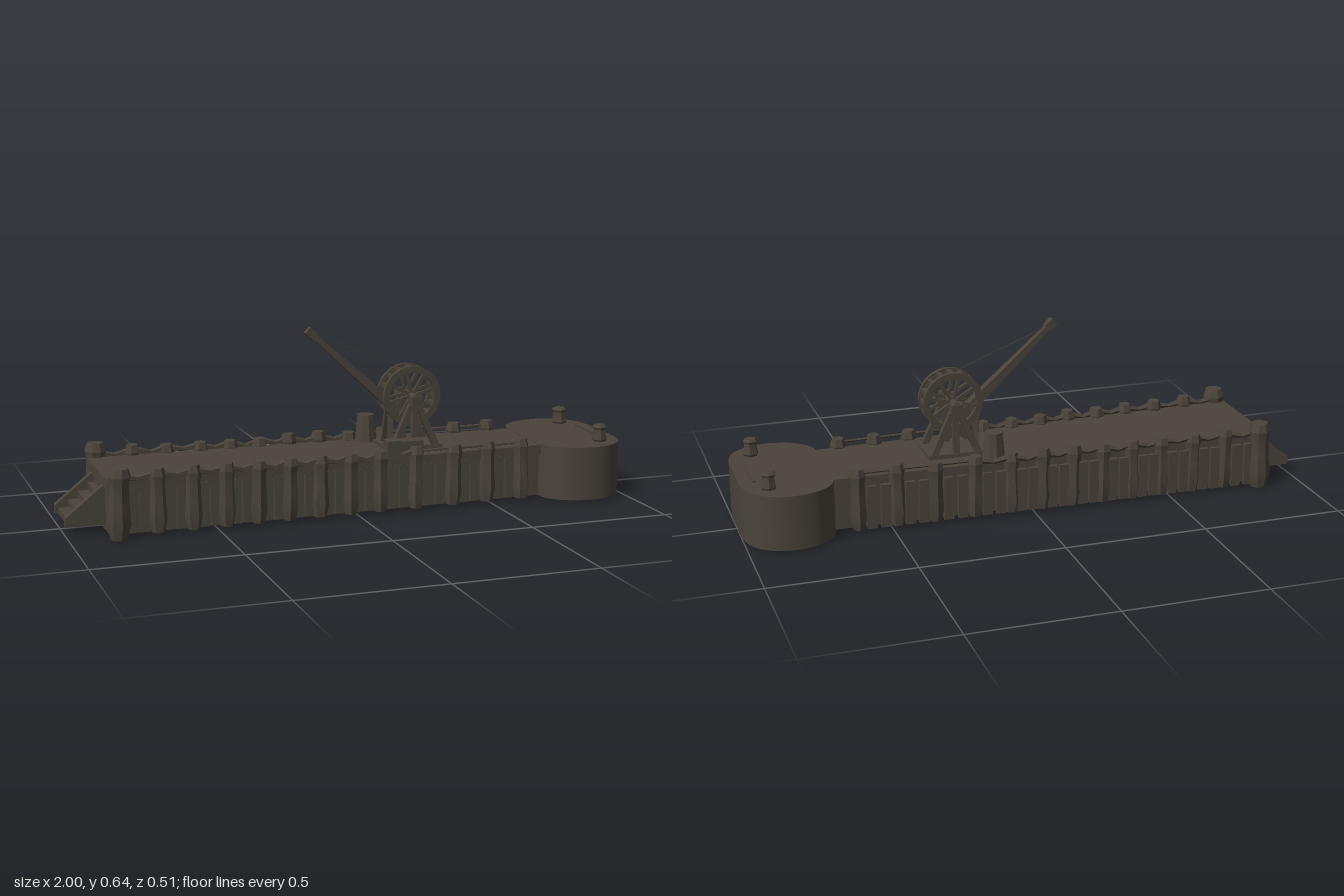
import * as THREE from 'three';
import { toCreasedNormals } from 'three/addons/utils/BufferGeometryUtils.js';

const V = (x, y, z) => new THREE.Vector3(x, y, z);

export function createModel() {
  const model = new THREE.Group();
  model.name = 'pier';
  const wood = new THREE.MeshStandardMaterial({ color: 0x4a433b });
  wood.name = 'weathered dark wood';

  let seed = 7;
  const rnd = () => ((seed = (seed * 16807) % 2147483647) / 2147483647) - 0.5;

  function add(name, geo, parent = model, crease = 0.4) {
    const mesh = new THREE.Mesh(toCreasedNormals(geo, crease), wood);
    mesh.name = name;
    parent.add(mesh);
    return mesh;
  }
  function box(name, x0, x1, y0, y1, z0, z1, parent) {
    const g = new THREE.BoxGeometry(x1 - x0, y1 - y0, z1 - z0);
    g.translate((x0 + x1) / 2, (y0 + y1) / 2, (z0 + z1) / 2);
    return add(name, g, parent);
  }
  // Straight tapered beam between two points
  function beam(name, a, b, r0, r1, sides = 4, parent = model) {
    const d = b.clone().sub(a);
    const g = new THREE.CylinderGeometry(r1, r0, d.length(), sides);
    g.rotateY(Math.PI / sides);
    const m = add(name, g, parent);
    m.position.copy(a).add(b).multiplyScalar(0.5);
    m.quaternion.setFromUnitVectors(V(0, 1, 0), d.normalize());
    return m;
  }
  // Rough hewn post from a few radii, leaning slightly
  function post(name, x, z, y0, y1, r, sides = 6) {
    const h = y1 - y0;
    const profile = [[0, 0], [0.75, 0], [1.05, 0.2], [0.9, 0.5], [0.85, 0.75], [1, 0.88], [0.75, 1], [0, 1]]
      .map(([a, t]) => new THREE.Vector2(a * r, t * h));
    const m = add(name, new THREE.LatheGeometry(profile, sides, rnd()), model, 0.3);
    m.position.set(x, y0, z);
    m.rotation.set(rnd() * 0.05, rnd(), rnd() * 0.06);
  }
  // Plan outline (x, z) extruded upward
  function slab(name, shape, y0, y1) {
    const g = new THREE.ExtrudeGeometry(shape, { depth: y1 - y0, bevelEnabled: false, curveSegments: 10 });
    g.rotateX(-Math.PI / 2);
    g.translate(0, y0, 0);
    return add(name, g, model, 0.6);
  }
  const polygon = (pts) => new THREE.Shape(pts.map(([x, y]) => new THREE.Vector2(x, y)));
  const taper = (x0, x1, w0, w1) => polygon([[x0, -w0], [x1, -w1], [x1, w1], [x0, w0]]);
  const edge = (x) => 0.187 - (x + 0.85) * 0.021;

  // Tapering pier body with an overhanging deck
  slab('pierWall', taper(-0.865, 0.73, 0.165, 0.135), 0.008, 0.16);
  slab('deck', taper(-0.87, 0.74, 0.182, 0.147), 0.158, 0.193);

  // Rounded pier head
  const headOutline = new THREE.SplineCurve([[0.69, 0.13], [0.705, 0.185], [0.75, 0.23], [0.8, 0.25], [0.86, 0.256],
    [0.92, 0.24], [0.97, 0.2], [0.993, 0.15], [1, 0.1]].map(([x, z]) => new THREE.Vector2(x, z))).getPoints(28);
  const head = new THREE.Shape([...headOutline, ...headOutline.map((p) => new THREE.Vector2(p.x, -p.y)).reverse()]);
  slab('pierHead', head, 0.006, 0.196);
  box('headSill', 0.945, 0.957, 0.19, 0.202, -0.095, 0.095);

  // Side posts, planks and sagging rails
  const postX = [-0.84, -0.705, -0.585, -0.47, -0.36, -0.25, -0.14, -0.03, 0.08, 0.21, 0.35, 0.48, 0.615];
  for (const s of [1, -1]) {
    postX.forEach((x, i) => {
      const z = s * edge(x);
      if (i === 0) post('cornerPost', x, s * 0.195, 0, 0.24, 0.039, 8);
      else post('sidePost', x, z, 0.01, 0.225 + rnd() * 0.012, 0.029);
      const nx = postX[i + 1];
      if (nx === undefined) return;
      const mid = (x + nx) / 2;
      const a = V(x, 0.21, z), b = V(nx, 0.21, s * edge(nx));
      if (nx > 0.25) beam('ropeRail', a, b, 0.005, 0.005, 5);
      else {
        const sag = V(mid, 0.196 + rnd() * 0.006, s * edge(mid));
        beam('rail', a, sag, 0.012, 0.009, 5);
        beam('rail', sag, b, 0.009, 0.012, 5);
      }
      // Narrow wall planks between posts
      for (const t of [0.32, 0.68]) {
        const px = x + (nx - x) * t;
        box('wallPlank', px - 0.017, px + 0.017, 0.012, 0.165, s * edge(px) - 0.018, s * edge(px) - 0.004 + rnd() * 0.006);
      }
    });
    post('bollard', 0.915, s * 0.163, 0.19, 0.255, 0.027);
  }

  // Boarding stairs with sloped cheeks
  const cheek = polygon([[-1, 0.03], [-0.84, 0.03], [-0.84, 0.17], [-0.875, 0.16], [-1, 0.06]]);
  for (const s of [1, -1]) {
    const g = new THREE.ExtrudeGeometry(cheek, { depth: 0.024, bevelEnabled: false });
    g.translate(0, 0, s * 0.094 - 0.012);
    add('stairCheek', g);
  }
  for (let i = 0; i < 4; i++) box('stairTread', -0.99 + i * 0.034, -0.85, 0.03 + i * 0.027, 0.05 + i * 0.027, -0.085, 0.085);

  // Cargo beside the crane
  box('crate', 0.115, 0.24, 0.19, 0.245, 0.103, 0.16);
  box('smallCrate', 0.1, 0.15, 0.19, 0.255, 0.14, 0.185);
  const barrel = add('barrel', new THREE.CylinderGeometry(0.031, 0.041, 0.1, 8));
  barrel.position.set(0.13, 0.24, -0.125);

  // Treadwheel crane
  const crane = new THREE.Group();
  crane.name = 'treadwheelCrane';
  model.add(crane);
  const cx = 0.245, cy = 0.378, R = 0.106;
  box('baseFrame', 0.14, 0.345, 0.19, 0.207, -0.076, 0.076, crane);
  beam('axle', V(cx, cy, -0.08), V(cx, cy, 0.08), 0.014, 0.014, 8, crane);
  const at = (a, r, z) => V(cx + Math.cos(a) * r, cy + Math.sin(a) * r, z);

  // Two rims with spokes
  const rim = new THREE.Shape().absarc(0, 0, R, 0, Math.PI * 2);
  rim.holes.push(new THREE.Path().absarc(0, 0, R - 0.023, 0, Math.PI * 2, true));
  for (const s of [1, -1]) {
    const g = new THREE.ExtrudeGeometry(rim, { depth: 0.014, bevelEnabled: false, curveSegments: 16 });
    g.translate(cx, cy, s * 0.031 - 0.007);
    add('wheelRim', g, crane);
    for (let i = 0; i < 8; i++) {
      const a = (i + 0.3) * Math.PI / 4;
      beam('spoke', at(a, 0.008, s * 0.031), at(a, R - 0.012, s * 0.031), 0.008, 0.007, 4, crane);
    }
    // Fanned support legs with a bearing block
    for (const x of [0.165, 0.245, 0.325]) {
      beam('supportLeg', V(x, 0.2, s * 0.061), V(cx, cy, s * 0.058), 0.016, 0.013, 4, crane);
    }
    const z = s * 0.071;
    box('bearing', cx - 0.02, cx + 0.02, 0.352, 0.386, z - 0.018, z + 0.018, crane);
    beam('boomBrace', V(0.165, 0.205, s * 0.045), V(0.17, 0.345, s * 0.012), 0.011, 0.01, 4, crane);
  }
  // Treads around the wheel
  for (let i = 0; i < 16; i++) {
    const a = i * Math.PI / 8;
    beam('tread', at(a, R - 0.011, -0.033), at(a, R - 0.011, 0.033), 0.0105, 0.0105, 4, crane);
  }

  // Boom, tip block and hoisting rope
  beam('boom', V(0.2, 0.325, 0), V(-0.115, 0.612, 0), 0.025, 0.013, 4, crane);
  const tip = box('boomTip', -0.018, 0.018, -0.014, 0.014, -0.012, 0.012, crane);
  tip.position.set(-0.116, 0.614, 0);
  tip.rotation.z = -0.74;
  beam('hoistRope', V(-0.11, 0.61, 0), V(0.22, 0.482, 0), 0.0012, 0.0012, 4, crane);

  return model;
}
